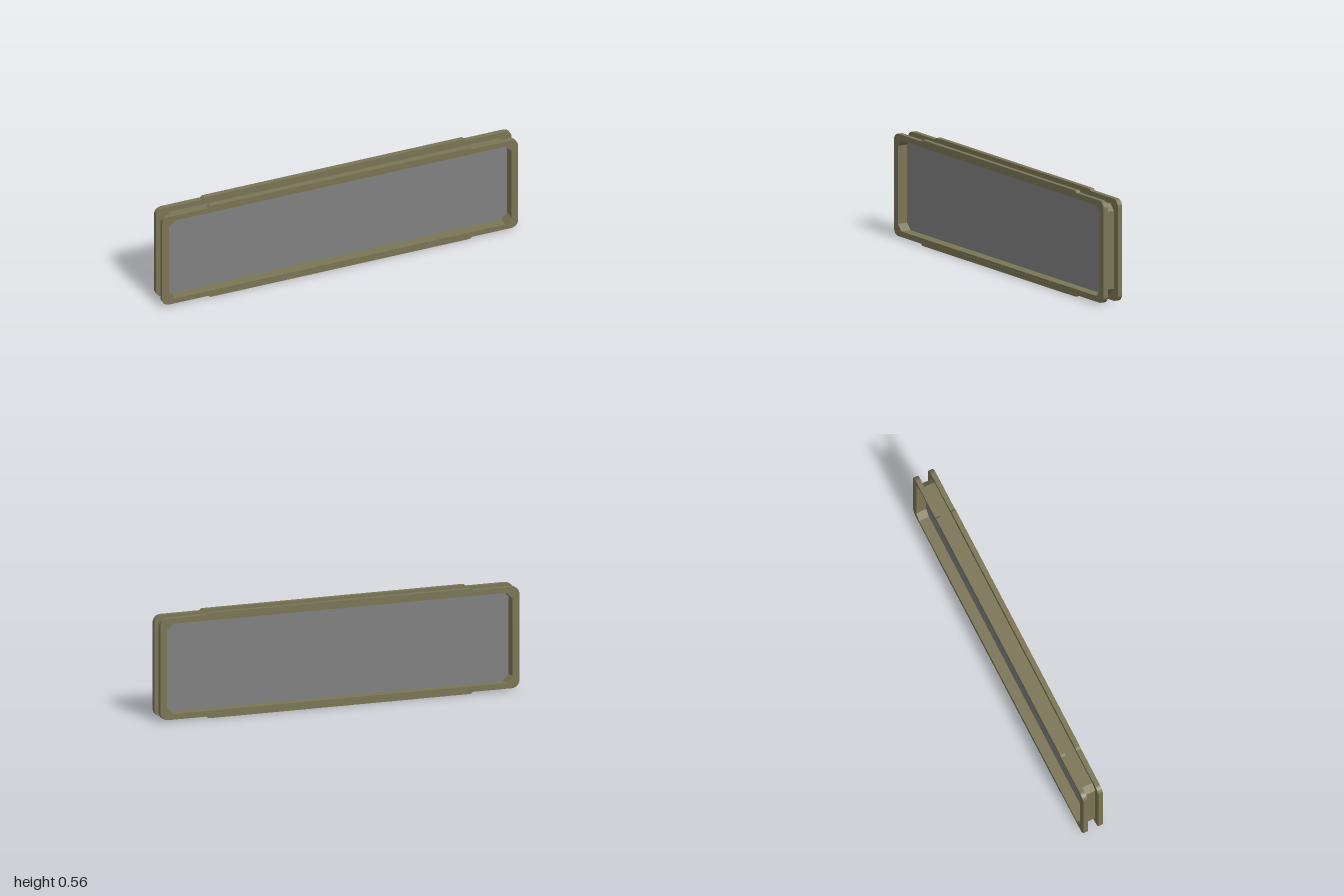
import * as THREE from 'three';

const MID_Y = 0.282, HALF_DEPTH = 0.057, CHANNEL = 0.031;

// Corner points of the chamfered opening, counter-clockwise
function openingPoints() {
  const w = 0.962, h = 0.242, c = 0.034;
  return [
    [w - c, -h], [w, -h + c], [w, h - c], [w - c, h],
    [-w + c, h], [-w, h - c], [-w, -h + c], [-w + c, -h],
  ].map(([x, y]) => new THREE.Vector2(x, y + MID_Y));
}

// Rounded outer outline with a raised strip along the top and bottom edges
function frameShape() {
  const w = 1, h = 0.272, r = 0.04, tab = 0.73, rise = 0.01;
  const b = MID_Y - h, t = MID_Y + h;
  const s = new THREE.Shape();
  s.moveTo(-w + r, b);
  s.lineTo(-tab - rise, b);
  s.lineTo(-tab, b - rise);
  s.lineTo(tab, b - rise);
  s.lineTo(tab + rise, b);
  s.lineTo(w - r, b);
  s.absarc(w - r, b + r, r, -Math.PI / 2, 0);
  s.lineTo(w, t - r);
  s.absarc(w - r, t - r, r, 0, Math.PI / 2);
  s.lineTo(tab + rise, t);
  s.lineTo(tab, t + rise);
  s.lineTo(-tab, t + rise);
  s.lineTo(-tab - rise, t);
  s.lineTo(-w + r, t);
  s.absarc(-w + r, t - r, r, Math.PI / 2, Math.PI);
  s.lineTo(-w, b + r);
  s.absarc(-w + r, b + r, r, Math.PI, Math.PI * 1.5);
  s.holes.push(new THREE.Path(openingPoints().reverse()));
  return s;
}

// Thin wall that follows a closed outline between two depths
function wallGeometry(points, z0, z1) {
  const pos = [];
  points.forEach((a, i) => {
    const b = points[(i + 1) % points.length];
    pos.push(a.x, a.y, z0, b.x, b.y, z0, b.x, b.y, z1);
    pos.push(a.x, a.y, z0, b.x, b.y, z1, a.x, a.y, z1);
  });
  const g = new THREE.BufferGeometry();
  g.setAttribute('position', new THREE.Float32BufferAttribute(pos, 3));
  g.computeVertexNormals();
  return g;
}

export function createModel() {
  const model = new THREE.Group();
  model.name = 'window';
  const frameMaterial = new THREE.MeshStandardMaterial({ color: 0x7a7555 });
  const wallMaterial = new THREE.MeshStandardMaterial({ color: 0x7a7555, side: THREE.DoubleSide });
  const glassMaterial = new THREE.MeshStandardMaterial({ color: 0x808080, side: THREE.DoubleSide });

  const add = (name, geometry, material, z = 0) => {
    const mesh = new THREE.Mesh(geometry, material);
    mesh.name = name;
    mesh.position.z = z;
    model.add(mesh);
  };

  // Front and back frames
  const frame = new THREE.ExtrudeGeometry(frameShape(), {
    depth: HALF_DEPTH - CHANNEL, bevelEnabled: false, curveSegments: 5,
  });
  add('frontFrame', frame, frameMaterial, CHANNEL);
  add('backFrame', frame, frameMaterial, -HALF_DEPTH);

  // Channel wall joining the frames, in two halves that meet at the pane
  add('frontChannel', wallGeometry(openingPoints(), 0, CHANNEL), wallMaterial);
  add('backChannel', wallGeometry(openingPoints(), -CHANNEL, 0), wallMaterial);

  // Glass pane
  add('glassPane', new THREE.ShapeGeometry(new THREE.Shape(openingPoints())), glassMaterial);

  return model;
}
